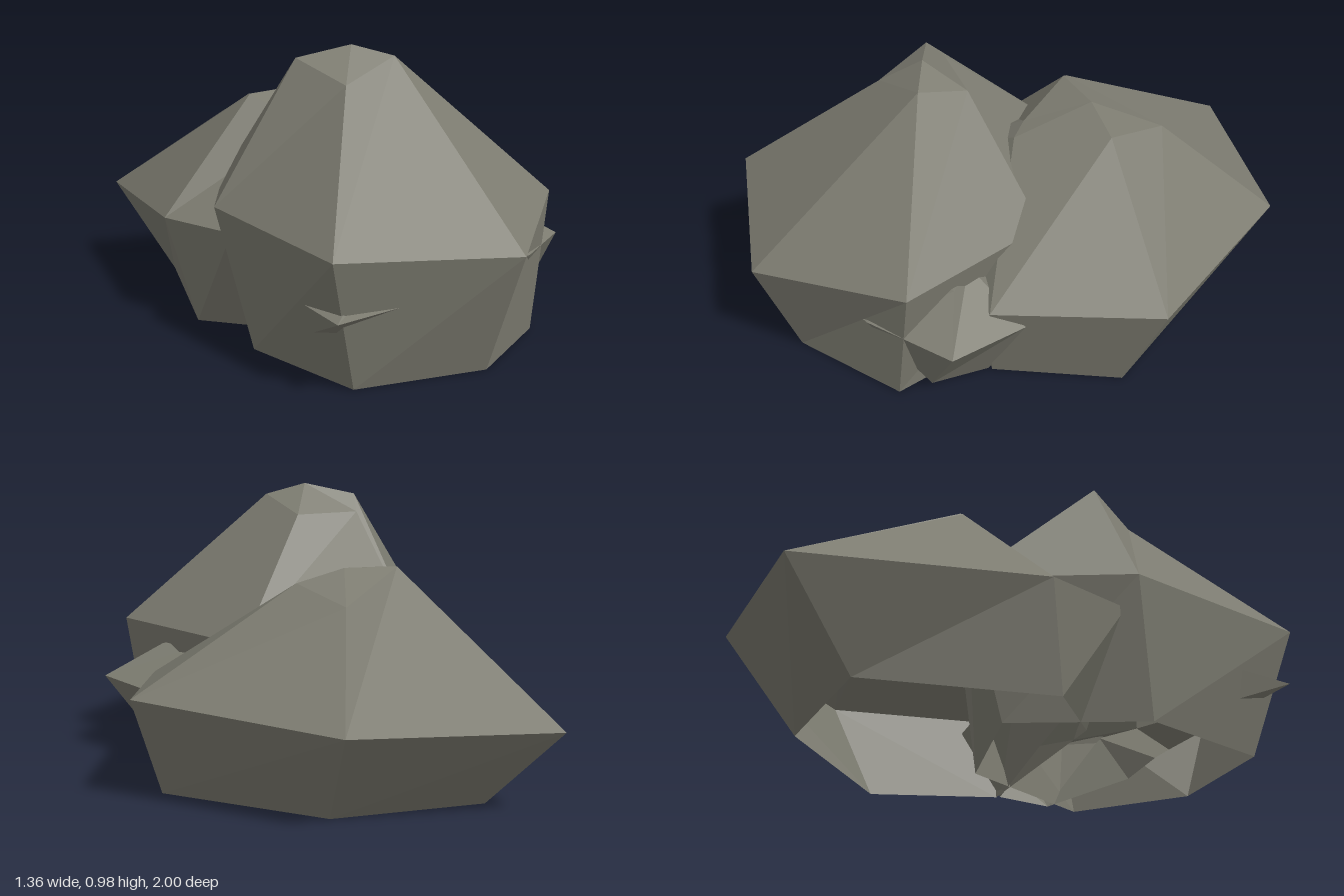
import * as THREE from 'three';

const stone = new THREE.MeshStandardMaterial({ color: 0x7c7b70, flatShading: true, side: THREE.DoubleSide });
stone.name = 'stone grey';

// Faceted rock shell, open underneath: rings run counterclockwise seen from above
function rock(name, rings, apex) {
  const pos = [];
  const tri = (a, b, c) => pos.push(...a, ...b, ...c);
  const n = rings[0].length;
  for (let r = 0; r < rings.length - 1; r++) {
    for (let i = 0; i < n; i++) {
      const j = (i + 1) % n;
      tri(rings[r][i], rings[r][j], rings[r + 1][j]);
      tri(rings[r][i], rings[r + 1][j], rings[r + 1][i]);
    }
  }
  const top = rings[rings.length - 1];
  for (let i = 0; i < n; i++) tri(top[i], top[(i + 1) % n], apex);
  const geo = new THREE.BufferGeometry();
  geo.setAttribute('position', new THREE.Float32BufferAttribute(pos, 3));
  geo.computeVertexNormals();
  const mesh = new THREE.Mesh(geo, stone);
  mesh.name = name;
  return mesh;
}

export function createModel() {
  const group = new THREE.Group();
  group.name = 'rockPile';

  // Tall pointed rock at the front
  group.add(rock('tallFrontRock', [
    [[-0.5, 0, 0.78], [-0.05, 0, 0.85], [0.32, 0, 0.6], [0.15, 0, 0.06], [-0.31, 0, -0.12], [-0.58, 0, 0.29]],
    [[-0.63, 0.44, 0.875], [-0.02, 0.4, 1], [0.405, 0.47, 0.58], [0.17, 0.45, 0.01], [-0.38, 0.45, -0.3], [-0.665, 0.47, 0.19]],
    [[-0.31, 0.87, 0.43], [-0.08, 0.94, 0.36], [-0.08, 0.94, 0.36], [-0.12, 0.88, 0.17], [-0.36, 0.88, 0.17], [-0.38, 0.94, 0.23]],
  ], [-0.21, 0.98, 0.3]));

  // Broad lower rock behind it
  group.add(rock('broadBackRock', [
    [[-0.4, 0, 0.15], [0.33, 0, 0.26], [0.54, 0, -0.15], [0.15, 0, -0.64], [-0.39, 0, -0.71], [-0.6, 0, -0.08]],
    [[-0.6, 0.37, 0.18], [0.4, 0.32, 0.29], [0.68, 0.36, -0.24], [0.22, 0.33, -0.88], [-0.5, 0.3, -1], [-0.68, 0.36, -0.16]],
    [[-0.18, 0.66, -0.06], [-0.12, 0.64, 0], [0.1, 0.71, -0.28], [0.03, 0.66, -0.51], [-0.29, 0.74, -0.27], [-0.29, 0.74, -0.26]],
  ], [-0.08, 0.75, -0.28]));

  // Low slab whose corners poke out between the two (the repeated front right foot turns that facet's crease)
  group.add(rock('lowSlabRock', [
    [[-0.4, 0, 0.49], [-0.31, 0, 0.5], [-0.09, 0, 0.55], [0.32, 0, 0.48], [0.32, 0, 0.48], [0.32, 0, 0.27], [-0.2, 0, 0.1], [-0.5, 0, 0.28]],
    [[-0.61, 0.25, 0.87], [-0.4, 0.27, 0.879], [0.25, 0.29, 0.68], [0.25, 0.29, 0.68], [0.53, 0.28, 0.47], [0.45, 0.27, 0.18], [-0.2, 0.27, 0.02], [-0.59, 0.27, 0.2]],
    [[-0.3, 0.38, 0.6], [-0.1, 0.39, 0.55], [0.1, 0.4, 0.5], [0.1, 0.4, 0.5], [0.33, 0.4, 0.39], [0.22, 0.4, 0.3], [-0.1, 0.4, 0.2], [-0.3, 0.38, 0.3]],
  ], [0, 0.42, 0.4]));

  return group;
}
